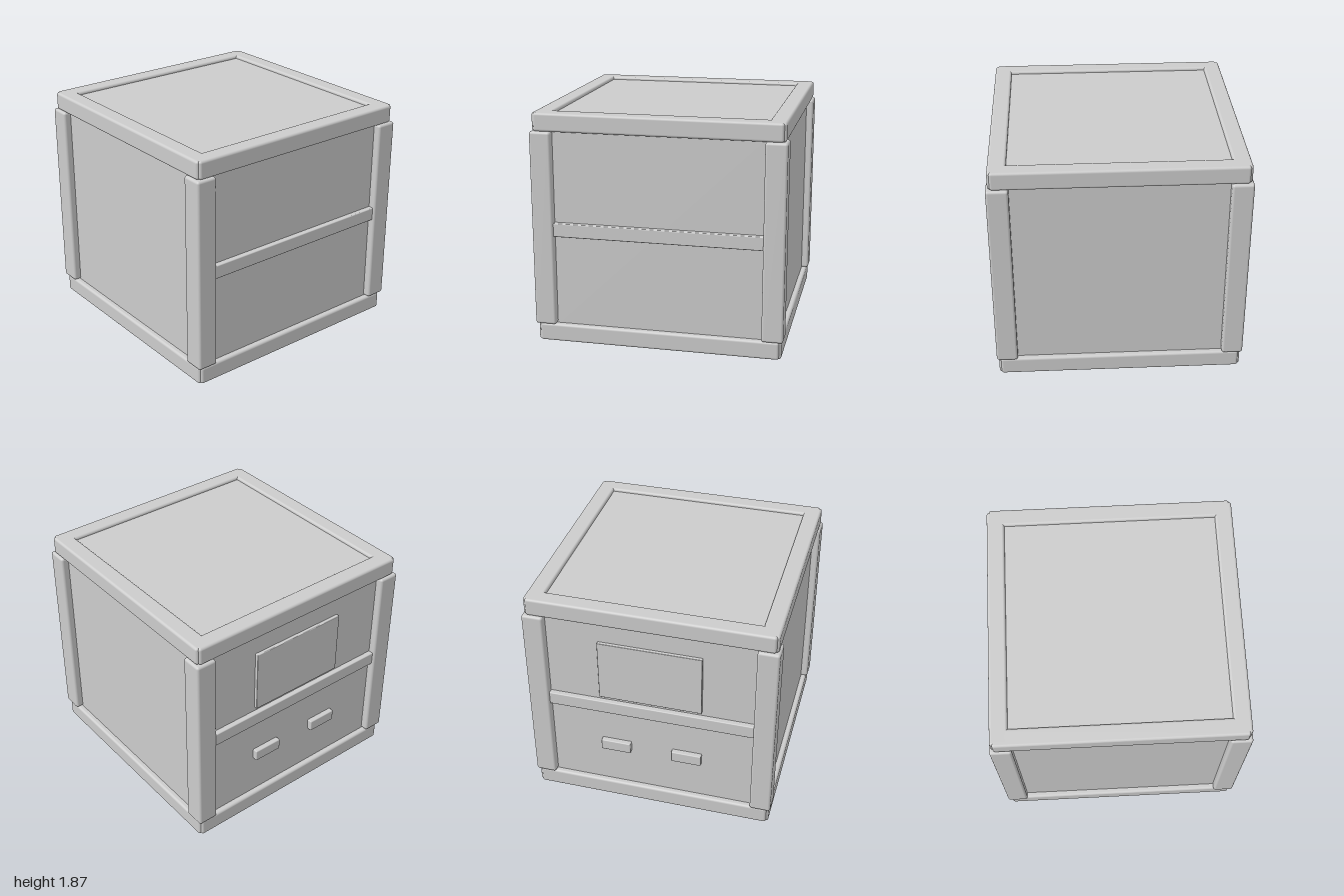
import * as THREE from 'three';
import { RoundedBoxGeometry } from 'three/addons/geometries/RoundedBoxGeometry.js';

export function createModel() {
  const model = new THREE.Group();
  model.name = 'crate';
  const grey = new THREE.MeshStandardMaterial({ color: 0xcccccc });
  grey.name = 'plain grey';

  // Box given by its extents; radius 0 keeps sharp edges.
  function block(name, [x0, x1], [y0, y1], [z0, z1], radius = 0) {
    const w = x1 - x0, h = y1 - y0, d = z1 - z0;
    const geometry = radius
      ? new RoundedBoxGeometry(w, h, d, 3, radius)
      : new THREE.BoxGeometry(w, h, d);
    const mesh = new THREE.Mesh(geometry, grey);
    mesh.name = name;
    mesh.position.set((x0 + x1) / 2, (y0 + y1) / 2, (z0 + z1) / 2);
    model.add(mesh);
    return mesh;
  }
  // Range mirrored to the given side of zero.
  const side = (s, a, b) => (s > 0 ? [a, b] : [-b, -a]);

  // Panelled body, recessed behind the frame
  block('body', [-0.94, 0.94], [0.025, 1.84], [-0.94, 0.94]);

  // Top and bottom rails
  for (const [level, y] of [['bottom', [0, 0.145]], ['top', [1.72, 1.865]]]) {
    for (const s of [-1, 1]) {
      const outer = side(s, 0.845, 0.985);
      block(level + (s > 0 ? 'FrontRail' : 'BackRail'), [-0.968, 0.968], y, outer, 0.02);
      block(level + (s > 0 ? 'LeftRail' : 'RightRail'), outer, y, [-0.968, 0.968], 0.02);
    }
  }

  // Corner posts
  for (const sx of [-1, 1]) {
    for (const sz of [-1, 1]) {
      block('cornerPost', side(sx, 0.83, 1), [0.145, 1.72], side(sz, 0.83, 1), 0.02);
    }
  }

  // Middle bars on the front and back
  for (const s of [-1, 1]) {
    block(s > 0 ? 'frontBar' : 'backBar', [-0.835, 0.835], [0.88, 0.99], side(s, 0.9, 0.982), 0.008);
  }

  // Back plate and the two grips below it
  block('backPlate', [-0.415, 0.415], [1.025, 1.545], [-0.968, -0.92], 0.006);
  for (const s of [-1, 1]) {
    block('backGrip', side(s, 0.17, 0.415), [0.49, 0.585], [-0.982, -0.92], 0.008);
  }

  return model;
}
